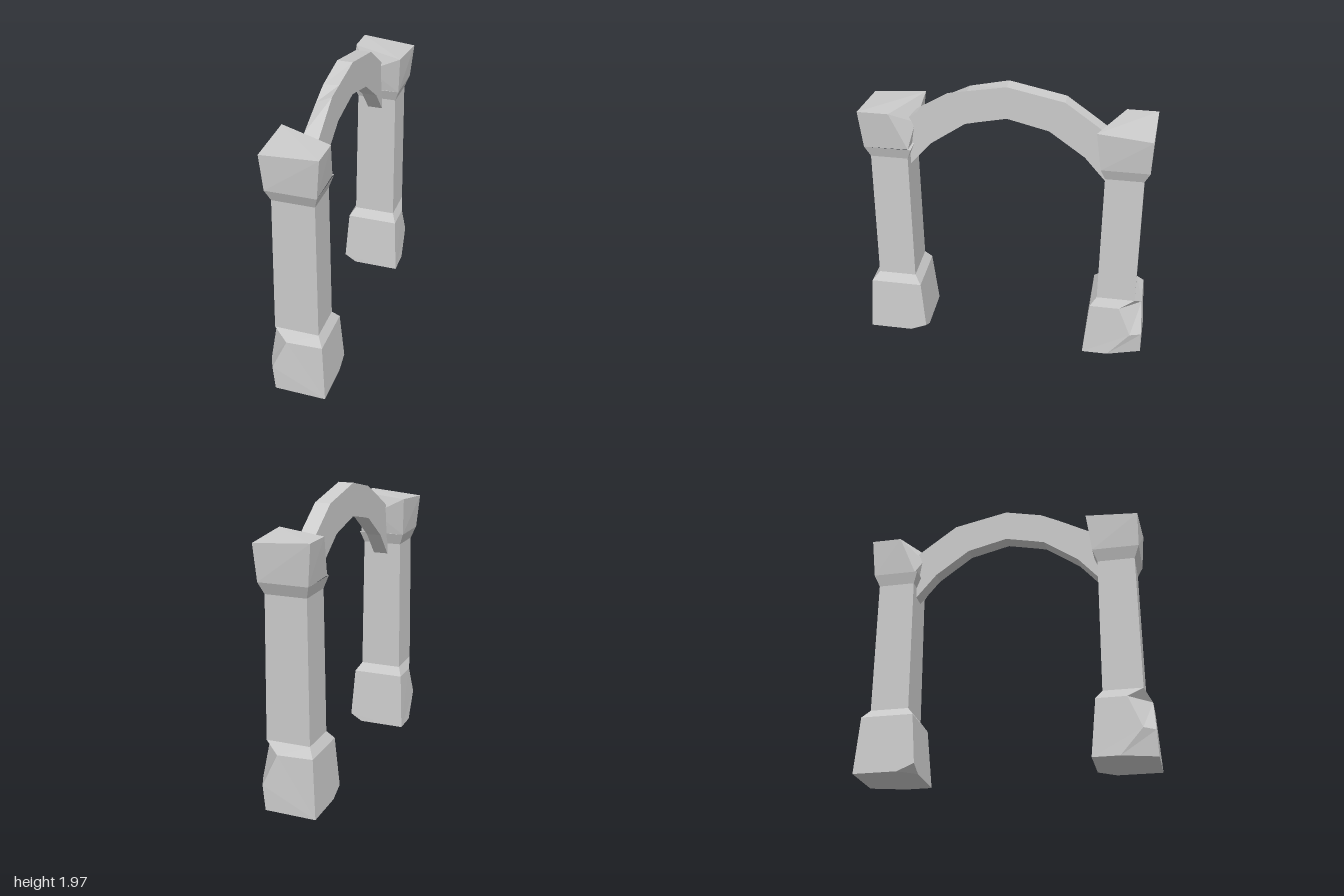
import * as THREE from 'three';

const stone = new THREE.MeshStandardMaterial({ color: 0xcccccc });
stone.name = 'stone';
stone.flatShading = true;

// Flat-faced mesh from convex polygons, each a loop of [x, y, z] corners
function polyMesh(name, polys) {
  const pos = [];
  for (const p of polys)
    for (let i = 1; i < p.length - 1; i++) pos.push(...p[0], ...p[i], ...p[i + 1]);
  const geo = new THREE.BufferGeometry();
  geo.setAttribute('position', new THREE.Float32BufferAttribute(pos, 3));
  geo.computeVertexNormals();
  const mesh = new THREE.Mesh(geo, stone);
  mesh.name = name;
  return mesh;
}

// Wall faces between two stacked loops
const wall = (lo, hi, i) => {
  const j = (i + 1) % lo.length;
  return [lo[j], lo[i], hi[i], hi[j]];
};

// Front pillar: four-sided levels, with chipped base and capital
function pillar(name) {
  // y, left x, right x, inner z, outer z
  const levels = [
    [0, -0.23, 0.19, 0.58, 1.0],
    [0.4, -0.205, 0.165, 0.615, 0.975],
    [0.46, -0.175, 0.125, 0.66, 0.925],
    [1.42, -0.165, 0.115, 0.665, 0.92],
    [1.5, -0.195, 0.14, 0.635, 0.955],
    [1.77, -0.21, 0.165, 0.6, 0.975],
  ];
  const rings = levels.map(([y, x0, x1, z0, z1]) =>
    [[x0, y, z0], [x1, y, z0], [x1, y, z1], [x0, y, z1]]);
  const [[a0, , c0], [a1, b1, c1], [a2, , c2, d2], , [a4, , c4], [a5, , c5]] = rings;
  const polys = [];

  // Shaft, lower slope and capital slope
  for (const k of [2, 3])
    for (let i = 0; i < 4; i++) polys.push(wall(rings[k], rings[k + 1], i));
  polys.push(wall(rings[1], rings[2], 0), wall(rings[1], rings[2], 1));

  // Base with a large broken outer corner
  const A0 = [-0.23, 0, 0.76], A1 = [-0.205, 0.4, 0.82], M = [-0.215, 0.18, 0.91];
  const B0 = [-0.16, 0, 0.995], B1 = [-0.08, 0.39, 0.975], D = [-0.18, 0.17, 0.99];
  polys.push(
    [c0, c1, B1, D, B0], [B1, c1, c2, d2],
    [a0, A0, M, A1, a1], [a1, A1, d2, a2],
    [A1, B1, d2], [A1, M, B1], [M, D, B1], [M, A0, D], [A0, B0, D]);

  // Small chip on the inner foot, and the underside
  const tip = [0.187, 0.05, 0.584], footIn = [0.1, 0, 0.58], footSide = [0.19, 0, 0.7];
  polys.push(
    [tip, footIn, a0, a1, b1], [c0, footSide, tip, b1, c1], [footSide, footIn, tip],
    [a0, footIn, footSide, c0, B0, A0]);

  // Capital with a broken inner corner and a tilted top
  const d5 = [-0.22, 1.74, 0.96], b4 = [0.135, 1.5, 0.655];
  const e = [-0.05, 1.77, 0.67], g = [0.165, 1.77, 0.765], p = [0.02, 1.65, 0.625];
  polys.push(
    [a4, a5, p], [a5, e, p], [e, g, p], [g, b4, p], [b4, a4, p],
    [c4, b4, g, c5], wall(rings[4], [a5, g, c5, d5], 2), wall(rings[4], [a5, g, c5, d5], 3),
    [c5, g, e, a5, d5], [b4, rings[4][1], a4]);
  return polyMesh(name, polys);
}

// Arch: cross-sections swept from the back pillar to the front one
function arch() {
  // outer z, outer y, inner z, inner y, chip depth on the right upper edge
  const spans = [
    [-0.68, 1.68, -0.68, 1.325, 0],
    [-0.6, 1.74, -0.52, 1.51, 0],
    [-0.38, 1.895, -0.28, 1.68, 0],
    [0, 1.97, 0, 1.745, 0],
    [0.26, 1.92, 0.2, 1.7, 0.01],
    [0.39, 1.895, 0.28, 1.68, 0.05],
    [0.6, 1.74, 0.52, 1.51, 0.01],
    [0.68, 1.68, 0.68, 1.325, 0],
  ];
  const sections = spans.map(([zo, yo, zi, yi, chip]) => {
    const xo = -0.021 * zo, xi = -0.021 * zi, w = 0.053;
    return [[xi - w, yi, zi], [xi + w, yi, zi], [xo + w, yo, zo], [xo - w, yo - chip, zo]];
  });
  const polys = [];
  for (let k = 0; k < sections.length - 1; k++)
    for (let i = 0; i < 4; i++) {
      const [q, r, s, t] = wall(sections[k], sections[k + 1], i);
      polys.push([t, s, r, q]);
    }
  polys.push([...sections[0]].reverse(), sections[sections.length - 1]);
  return polyMesh('arch', polys);
}

export function createModel() {
  const model = new THREE.Group();
  model.name = 'stoneArchway';
  const back = pillar('backPillar');
  back.rotation.y = Math.PI;
  model.add(pillar('frontPillar'), back, arch());
  return model;
}
